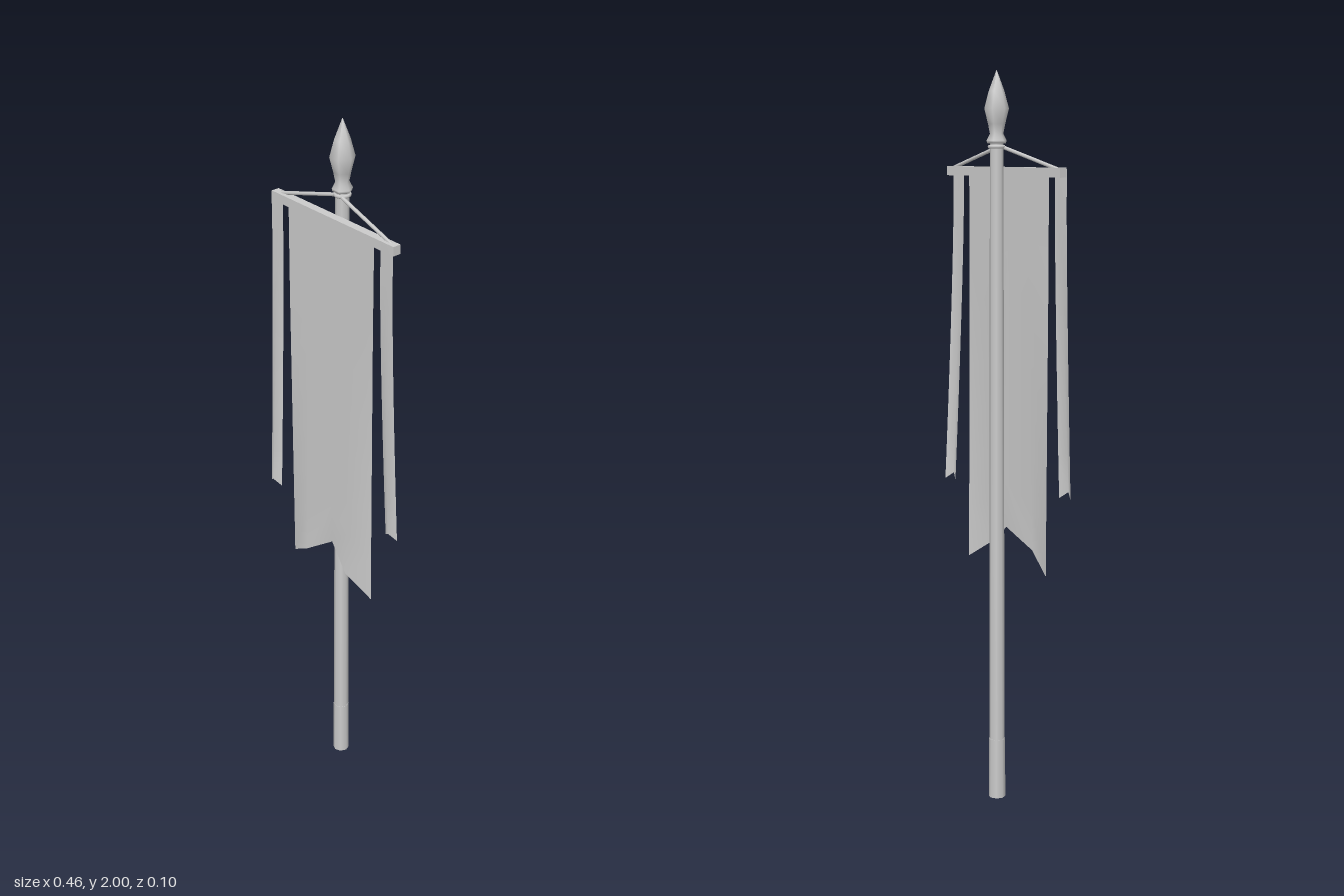
import * as THREE from 'three';

const POLE_Z = -0.024;

export function createModel() {
  const model = new THREE.Group();
  const solid = new THREE.MeshStandardMaterial({ color: 0xcccccc });
  const cloth = new THREE.MeshStandardMaterial({ color: 0xcccccc, side: THREE.DoubleSide });

  function add(name, geometry, material, x = 0, y = 0, z = 0) {
    const mesh = new THREE.Mesh(geometry, material);
    mesh.name = name;
    mesh.position.set(x, y, z);
    model.add(mesh);
    return mesh;
  }

  // Hanging cloth: u runs -1..1 across, t runs 0..1 from top to bottom
  function hanging(name, x, halfWidth, top, cols, rows, bottomAt, depthAt) {
    const geo = new THREE.PlaneGeometry(2, 1, cols, rows);
    const p = geo.attributes.position;
    for (let i = 0; i < p.count; i++) {
      const u = p.getX(i);
      const t = 0.5 - p.getY(i);
      p.setXYZ(i, u * halfWidth, top + (bottomAt(u) - top) * t, depthAt(u, t));
    }
    geo.computeVertexNormals();
    return add(name, geo, cloth, x);
  }

  // Pole with a slightly thicker foot
  add('poleFoot', new THREE.CylinderGeometry(0.0225, 0.0235, 0.17, 8), solid, 0, 0.085, POLE_Z);
  add('poleShaft', new THREE.CylinderGeometry(0.018, 0.0215, 1.65, 8), solid, 0, 0.985, POLE_Z);

  // Six-sided spearhead with a flared collar
  const profile = [
    [0, 1.808], [0.025, 1.81], [0.027, 1.817], [0.018, 1.835],
    [0.023, 1.86], [0.033, 1.9], [0.021, 1.945], [0, 2],
  ].map(([r, y]) => new THREE.Vector2(r, y));
  add('spearhead', new THREE.LatheGeometry(profile, 6, Math.PI / 2), solid, 0, 0, POLE_Z);

  // Crossbar in front of the pole
  add('crossbar', new THREE.BoxGeometry(0.46, 0.025, 0.023), solid, 0, 1.736, 0.0035);

  // Ropes from the pole top to the bar ends, tied round the pole
  for (const side of [-1, 1]) {
    const path = new THREE.LineCurve3(
      new THREE.Vector3(0, 1.803, -0.012),
      new THREE.Vector3(side * 0.21, 1.745, 0.002));
    add(side > 0 ? 'leftRope' : 'rightRope', new THREE.TubeGeometry(path, 1, 0.005, 6), solid);
  }
  const knot = add('ropeLoop', new THREE.TorusGeometry(0.019, 0.005, 6, 12), solid, 0, 1.801, POLE_Z);
  knot.rotation.x = Math.PI / 2;

  // Main banner with a notched hem and two soft folds
  hanging('banner', 0, 0.162, 1.745, 4, 8,
    (u) => 0.77 - 0.11 * Math.abs(u),
    (u, t) => {
      const fold = 1 - Math.abs(2 * Math.abs(u) - 1);
      const s = Math.max(0, (t - 0.25) / 0.75);
      return 0.0157 - 0.005 * s + 0.023 * fold * s;
    });

  // Side streamers with notched ends, one blown forward and one back
  for (const side of [-1, 1]) {
    const drift = side > 0 ? -0.035 : 0.021;
    hanging(side > 0 ? 'leftStreamer' : 'rightStreamer', side * 0.2075, 0.0225, 1.745, 2, 8,
      (u) => 0.895 - 0.018 * Math.abs(u),
      (u, t) => {
        const s = Math.max(0, (t - 0.1) / 0.9);
        return 0.0157 + drift * Math.pow(s, 1.3) + 0.013 * (1 - Math.abs(u)) * s;
      });
  }
  return model;
}
